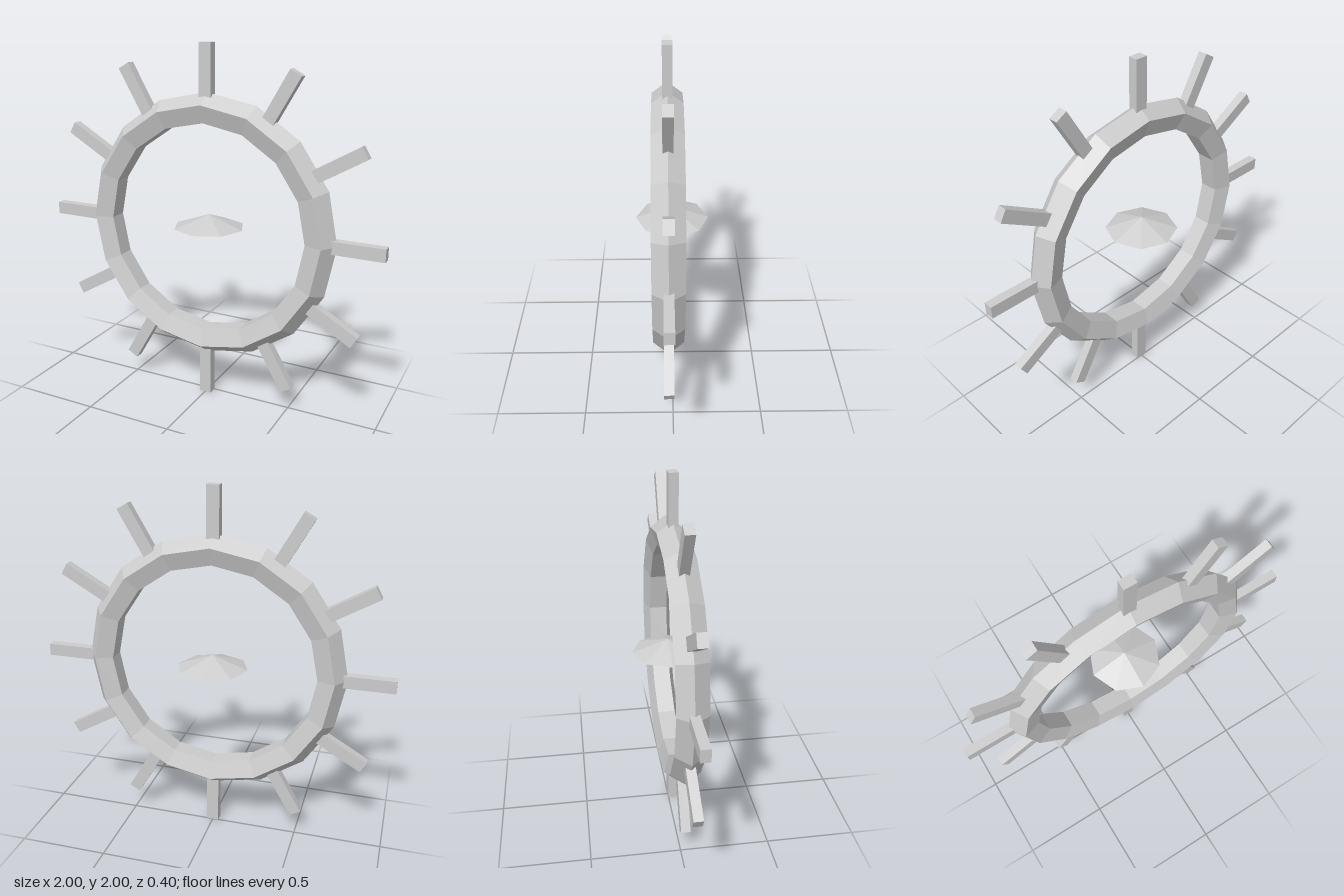
import * as THREE from 'three';

const RING_Z = 0.024; // ring plane sits slightly in front of the hub
const CENTER_Y = 1;

export function createModel() {
  const model = new THREE.Group();
  model.name = 'spokedWheel';

  const grey = new THREE.MeshStandardMaterial({ color: 0xcccccc, flatShading: true });
  grey.name = 'light grey';

  // Faceted ring: five-sided tube, sixteen segments
  const ring = new THREE.Mesh(new THREE.TorusGeometry(0.658, 0.087, 5, 16), grey);
  ring.name = 'ring';
  ring.position.set(0, CENTER_Y, RING_Z);
  model.add(ring);

  // Twelve outward handles, rooted inside the ring
  const inner = 0.69;
  const outer = 1;
  const handleShape = new THREE.BoxGeometry(outer - inner, 0.07, 0.052);
  handleShape.translate((inner + outer) / 2, 0, 0);
  const handles = new THREE.Group();
  handles.name = 'handles';
  handles.position.set(0, CENTER_Y, RING_Z);
  for (let i = 0; i < 12; i++) {
    const handle = new THREE.Mesh(handleShape, grey);
    handle.name = 'handle';
    handle.rotation.z = (i * Math.PI) / 6;
    handles.add(handle);
  }
  model.add(handles);

  // Floating hub: eight-sided gem, taller above than below
  const hubProfile = [
    new THREE.Vector2(0, -0.025),
    new THREE.Vector2(0.2, 0.003),
    new THREE.Vector2(0, 0.075),
  ];
  const hub = new THREE.Mesh(new THREE.LatheGeometry(hubProfile, 8), grey);
  hub.name = 'hub';
  hub.position.y = CENTER_Y;
  model.add(hub);

  return model;
}
